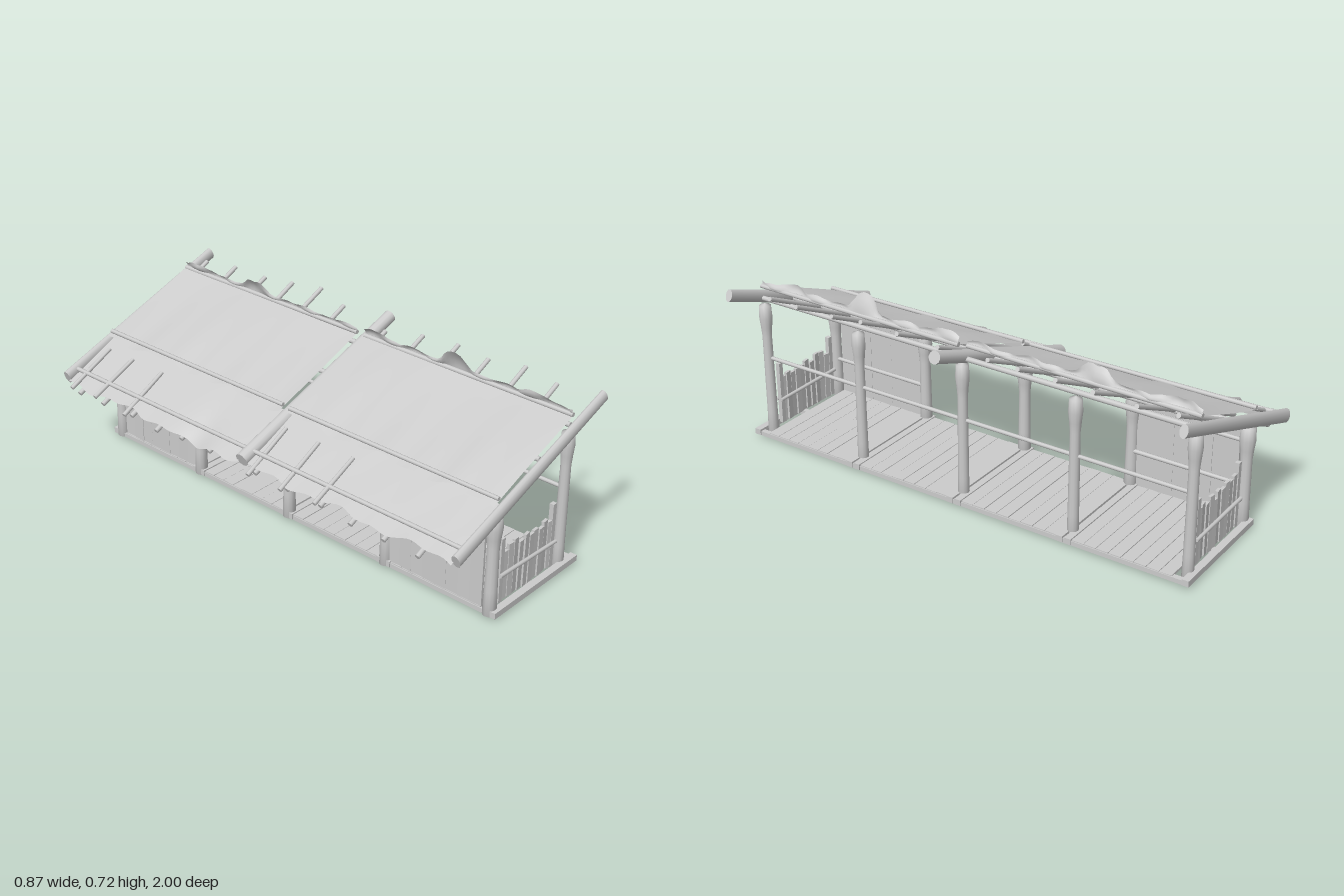
import * as THREE from 'three';

const mat = new THREE.MeshStandardMaterial({ color: 0xcccccc });
const thin = new THREE.MeshStandardMaterial({ color: 0xcccccc, side: THREE.DoubleSide });

// Small seeded number source for hand-made irregularity
let seed = 7;
const vary = (amount) => {
  seed = (seed * 16807) % 2147483647;
  return (seed / 2147483647 - 0.5) * 2 * amount;
};

export function createModel() {
  const model = new THREE.Group();
  const add = (name, geo, material = mat) => {
    const mesh = new THREE.Mesh(geo, material);
    mesh.name = name;
    model.add(mesh);
    return mesh;
  };

  // Round pole between two points
  const pole = (name, a, b, r0, r1 = r0, sides = 10) => {
    const p = new THREE.Vector3(...a), q = new THREE.Vector3(...b);
    const d = q.clone().sub(p);
    const mesh = add(name, new THREE.CylinderGeometry(r1, r0, d.length(), sides));
    mesh.position.copy(p).add(q).multiplyScalar(0.5);
    mesh.quaternion.setFromUnitVectors(new THREE.Vector3(0, 1, 0), d.normalize());
    return mesh;
  };

  const box = (name, w, h, d, x, y, z) => {
    const mesh = add(name, new THREE.BoxGeometry(w, h, d));
    mesh.position.set(x, y, z);
    return mesh;
  };

  // Thin surface from a rule giving a point for (u, z)
  const sheet = (name, z0, z1, nu, rule) => {
    const geo = new THREE.PlaneGeometry(1, 1, nu, 48);
    const pos = geo.attributes.position;
    for (let i = 0; i < pos.count; i++) {
      const u = pos.getX(i) + 0.5;
      const z = THREE.MathUtils.lerp(z0, z1, pos.getY(i) + 0.5);
      const [x, y] = rule(u, z);
      pos.setXYZ(i, x, y, z);
    }
    geo.computeVertexNormals();
    return add(name, geo, thin);
  };

  const bayEdges = [-0.955, -0.485, 0, 0.485, 0.955];

  // Posts, tall at the front and short at the back, swelling at the head
  const post = (name, x, z, base, top, r) => {
    const profile = [[0, base], [r * 1.1, base], [r, base + 0.1], [r * 0.92, top - 0.14],
      [r * 1.08, top - 0.1], [r * 1.28, top - 0.06], [r * 1.15, top - 0.01], [0, top]]
      .map(([a, b]) => new THREE.Vector2(a, b));
    add(name, new THREE.LatheGeometry(profile, 12)).position.set(x, 0, z);
  };
  for (const z of bayEdges) {
    post('frontPost', 0.262, z, 0, 0.575, 0.021);
    post('backPost', -0.15, z, 0.012, 0.425, 0.024);
  }

  // Floor: sills across, joists along, boards between
  for (const z of bayEdges) {
    const sides = Math.abs(z) > 0.9 ? [Math.sign(z) * 0.025] : [-0.018, 0.018];
    for (const s of sides) box('floorSill', 0.5, 0.024, 0.028, 0.08, 0.025, z + s);
  }
  for (const x of [-0.155, 0.08, 0.315]) box('floorJoist', 0.022, 0.018, 1.97, x, 0.02, 0);
  for (let bay = 0; bay < 4; bay++) {
    const z0 = bayEdges[bay] + 0.03, width = (bayEdges[bay + 1] - 0.03 - z0) / 8;
    for (let i = 0; i < 8; i++) {
      const board = box('floorBoard', 0.485, 0.009, width - 0.002, 0.08, 0.028 + vary(0.001), z0 + (i + 0.5) * width);
      board.rotation.x = vary(0.04);
    }
  }

  // Picket fences closing both ends
  for (const side of [-1, 1]) {
    const z = side * 0.95;
    for (let i = 0; i < 10; i++) {
      const h = 0.212 + vary(0.016);
      const picket = box('fencePicket', 0.027, h, 0.012, -0.068 + i * 0.0295, 0.03 + h / 2, z + vary(0.003));
      picket.rotation.z = vary(0.02);
      picket.rotation.y = vary(0.15);
    }
    for (const x of [-0.095, 0.211]) box('fenceStake', 0.02, 0.265, 0.018, x, 0.163, z);
    for (const s of [-1, 1]) {
      pole('fenceRail', [-0.11, 0.146 + s * 0.003, z + s * 0.013], [0.226, 0.136 - s * 0.002, z + s * 0.013], 0.008, 0.007, 8);
    }
  }

  // Boarded back walls in the two outer bays
  for (const side of [-1, 1]) {
    for (let i = 0; i < 8; i++) {
      const h = 0.385 + vary(0.008);
      const board = box('wallBoard', 0.01, h, 0.053, -0.155 + vary(0.002), 0.025 + h / 2, side * (0.528 + i * 0.053));
      board.rotation.y = vary(0.05);
    }
    for (const y of [0.18, 0.36]) pole('wallRail', [-0.142, y, side * 0.5], [-0.142, y, side * 0.94], 0.009, 0.008, 8);
  }

  // Long rails and roof purlins
  pole('frontRail', [0.262, 0.342, -0.95], [0.262, 0.34, 0.95], 0.008, 0.008, 8);
  pole('frontPurlin', [0.262, 0.59, -0.96], [0.262, 0.595, 0.96], 0.011, 0.01, 8);
  pole('middlePurlin', [0.085, 0.528, -0.96], [0.085, 0.532, 0.96], 0.01, 0.01, 8);
  pole('backPurlin', [-0.155, 0.415, -0.96], [-0.155, 0.415, 0.96], 0.011, 0.01, 8);

  // Heavy sloping beams at the ends and the middle
  for (const [z, flat, end] of [[-0.984, 0.64, 0.412], [0, 1, 0.428], [0.984, 0.64, 0.425]]) {
    const beam = pole('roofBeam', [-0.4, 0.362, z], [end, 0.362 + (end + 0.4) * 0.357, z], 0.028, 0.025, 12);
    beam.scale.z = flat;
  }

  // Rafters under the roof, their tips showing past the front edge
  const rafters = [[-0.92, 0.33], [-0.78, 0.36], [-0.61, 0.36], [-0.47, 0.375], [-0.33, 0.395], [-0.18, 0.36],
    [0.06, 0.33], [0.22, 0.36], [0.38, 0.37], [0.52, 0.37], [0.67, 0.395], [0.82, 0.375]];
  for (const [z, end] of rafters) {
    pole('rafter', [-0.395, 0.315 + vary(0.012), z], [end, 0.625 + (end - 0.27) * 0.45 + vary(0.008), z], 0.01, 0.009, 8);
  }

  // Roof covering: an upper and a lower sheet in each half
  const ripple = (z) => 0.006 * Math.sin(z * 17) + 0.004 * Math.sin(z * 41 + 1);
  for (const [z0, z1] of [[-0.972, -0.018], [0.018, 0.972]]) {
    sheet('upperRoofSheet', z0, z1, 14, (u, z) => {
      const x = THREE.MathUtils.lerp(-0.185 + ripple(z), 0.262, u);
      const y = 0.473 + (x + 0.185) * 0.375 + 0.006 * Math.sin(u * Math.PI) * Math.sin(z * 9);
      return [x, y + 0.6 * ripple(z) * (1 - u)];
    });
    sheet('lowerRoofSheet', z0, z1, 10, (u, z) => {
      const tear = Math.exp(-(((z + 0.26) / 0.07) ** 2)) * 0.035;
      const x = THREE.MathUtils.lerp(-0.405 + 1.3 * ripple(z), -0.15, u);
      return [x, 0.352 + 0.112 * u + (ripple(z) * 0.9 - tear) * (1 - u) ** 2];
    });
    // Ragged turned-up front edge
    sheet('turnedUpEdge', z0, z1, 4, (u, z) => {
      const bump = (c, w, h) => h * Math.exp(-(((z - c) / w) ** 4));
      const h = 0.02 + Math.abs(ripple(z)) * 1.2 + bump(0.46, 0.06, 0.055) + bump(-0.55, 0.06, 0.04)
        + bump(0.08, 0.05, 0.018) + bump(-0.9, 0.05, 0.015) + bump(0.82, 0.06, 0.015);
      return [0.262 - u * h * 0.4 + 0.01 * Math.sin(u * 3) * Math.sin(z * 30), 0.638 + u * h];
    });
    // Poles tying the sheets down
    pole('bindingPole', [-0.355, 0.388, z0], [-0.352, 0.385, z1], 0.009, 0.008, 8);
    pole('bindingPole', [-0.165, 0.49, z0], [-0.16, 0.49, z1], 0.009, 0.008, 8);
    pole('edgePole', [0.258, 0.638, z0], [0.255, 0.642, z1], 0.01, 0.009, 8);
  }

  // Short battens over the lower sheet
  for (const z of [-0.92, -0.78, -0.61, 0.06, 0.22, 0.385]) {
    pole('roofBatten', [-0.432, 0.345 + vary(0.012), z], [-0.225, 0.447, z], 0.009, 0.008, 8);
  }

  return model;
}
